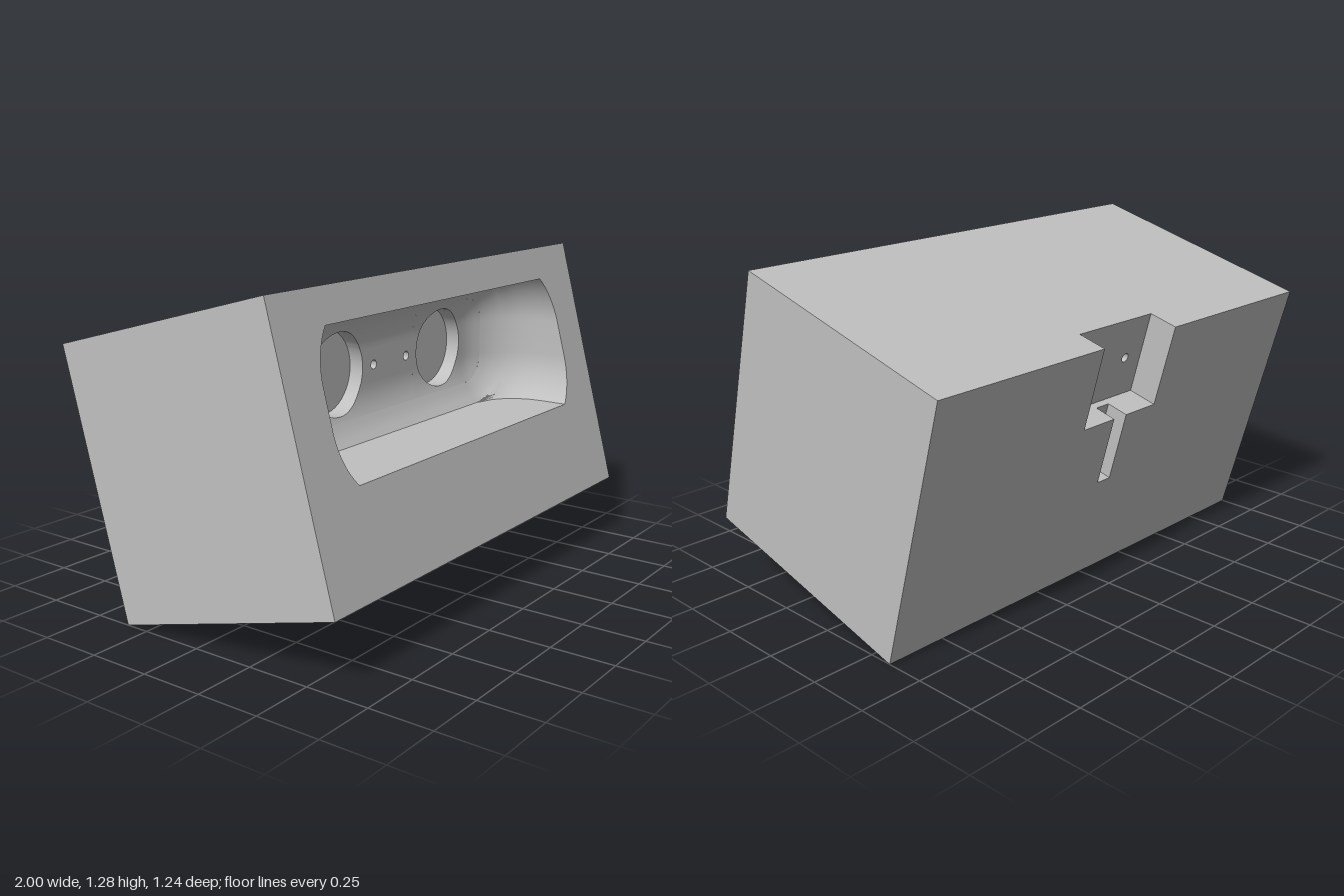
import * as THREE from 'three';
import { toCreasedNormals } from 'three/addons/utils/BufferGeometryUtils.js';

const TILT = Math.PI / 12, C = Math.cos(TILT), S = Math.sin(TILT);
const H = 0.53, D = 0.5, MID = 0.642;            // block half height, half depth, centre height
const NX = 0.205, NY = 0.195, NZ = -0.38;        // notch half width, ledge height, floor
const SX = 0.035, SY = -0.09, SZ = -0.41;        // slot half width, bottom, inner wall
const CY = 0.893, R = 0.28, CX = 0.53, CORE = 0.07, CLIP = 0.2625, ZC = 0.405; // pocket
const SPOOL_X = 0.343, SPOOL_R = 0.161, SPOOL_Z = 0.065, PIN_X = 0.11, PIN_R = 0.018;
const RHO = 0.11, SPLIT = 0.155;                 // limits of the pocket floor patches

// World height <-> position on a tilted plane of the block
const toLocalY = (y, lz) => (y - MID - lz * S) / C;
const planeZ = (y, lz) => lz * C - toLocalY(y, lz) * S;

// Rounded pocket: distance from the flat core, and depth there
const coreDist = (x, y) =>
  Math.hypot(Math.max(Math.abs(x) - CX, 0), Math.max(Math.abs(y) - CORE, 0));
const floorZ = (x, y) => ZC - Math.sqrt(R * R - Math.min(coreDist(x, y), R) ** 2);

// Pocket cross-section with fillet radius rho, cut flat above and below
function section(rho, n = 12) {
  const tMax = Math.asin(Math.min(1, (CLIP - CORE) / rho));
  const q = Array.from({ length: n + 1 }, (_, i) => {
    const t = (tMax * i) / n;
    return [CX + rho * Math.cos(t), CORE + rho * Math.sin(t)];
  });
  const r = [...q].reverse();
  return [...q, ...r.map(([x, y]) => [-x, y]), ...q.map(([x, y]) => [-x, -y]), ...r.map(([x, y]) => [x, -y])];
}

function circle(cx, cy, r, n = 48) {
  return Array.from({ length: n }, (_, i) => {
    const a = (i / n) * Math.PI * 2;
    return [cx + r * Math.cos(a), cy + r * Math.sin(a)];
  });
}

// Surface through closed rings of equal length
function loft(rings) {
  const n = rings[0].length, index = [];
  for (let k = 0; k < rings.length - 1; k++)
    for (let i = 0; i < n; i++) {
      const j = (i + 1) % n, a = k * n, b = a + n;
      index.push(a + i, a + j, b + i, a + j, b + j, b + i);
    }
  const g = new THREE.BufferGeometry();
  g.setAttribute('position', new THREE.Float32BufferAttribute(rings.flat(2), 3));
  g.setIndex(index);
  return toCreasedNormals(g, 0.55);
}

// Flat outline with holes, placed in space by a mapping
function panel(points, map, holes = []) {
  const v = (list) => list.map(([x, y]) => new THREE.Vector2(x, y));
  const shape = new THREE.Shape(v(points));
  shape.holes = holes.map((h) => new THREE.Path(v(h)));
  return drape(new THREE.ShapeGeometry(shape), map);
}

function drape(g, map) {
  const p = g.attributes.position;
  for (let i = 0; i < p.count; i++) p.setXYZ(i, ...map(p.getX(i), p.getY(i)));
  g.computeVertexNormals();
  return g;
}

const rect = (x0, y0, x1, y1) => [[x0, y0], [x1, y0], [x1, y1], [x0, y1]];
const atX = (x) => (a, b) => [x, b, a];
const atY = (y) => (a, b) => [a, y, b];
const atZ = (z) => (a, b) => [a, b, z];

export function createModel() {
  const model = new THREE.Group();
  const grey = new THREE.MeshStandardMaterial({ color: 0xc0c0c0, side: THREE.DoubleSide });
  grey.name = 'light grey';
  const add = (parent, name, geometry) => {
    const m = new THREE.Mesh(geometry, grey);
    m.name = name;
    parent.add(m);
  };

  // Tilted block
  const block = new THREE.Group();
  block.name = 'block';
  block.position.y = MID;
  block.rotation.x = -TILT;
  model.add(block);
  const rim = section(R);
  add(block, 'frontFace', panel(rect(-1, -H, 1, H), atZ(D), [rim.map(([x, y]) => [x, toLocalY(CY + y, D)])]));
  add(block, 'backFace', panel([[-1, -H], [1, -H], [1, H], [NX, H], [NX, NY], [SX, NY], [SX, SY],
    [-SX, SY], [-SX, NY], [-NX, NY], [-NX, H], [-1, H]], atZ(-D)));
  add(block, 'topFace', panel([[-1, D], [1, D], [1, -D], [NX, -D], [NX, NZ], [-NX, NZ], [-NX, -D], [-1, -D]], atY(H)));
  add(block, 'bottomFace', panel(rect(-1, -D, 1, D), atY(-H)));

  // Notch and narrow slot in the back
  const pinY = toLocalY(CY, NZ);
  add(block, 'notchFloor', panel(rect(-NX, NY, NX, H), atZ(NZ), [-1, 1].map((s) => circle(s * PIN_X, pinY, PIN_R, 20))));
  add(block, 'notchLedge', panel([[-NX, -D], [-SX, -D], [-SX, SZ], [SX, SZ], [SX, -D], [NX, -D], [NX, NZ], [-NX, NZ]], atY(NY)));
  add(block, 'slotInnerWall', panel(rect(-SX, SY, SX, NY), atZ(SZ)));
  add(block, 'slotBottom', panel(rect(-SX, -D, SX, SZ), atY(SY)));
  for (const s of [-1, 1]) {
    add(block, 'sideFace', panel(rect(-D, -H, D, H), atX(s)));
    add(block, 'notchSide', panel(rect(-D, NY, NZ, H), atX(s * NX)));
    add(block, 'slotSide', panel(rect(-D, SY, SZ, NY), atX(s * SX)));
  }

  // Level rounded pocket behind the front opening
  const pocket = new THREE.Group();
  pocket.name = 'pocket';
  pocket.position.y = CY;
  model.add(pocket);
  const rings = [
    rim.map(([x, y]) => [x, y, planeZ(CY + y, D)]),
    rim.map(([x, y]) => [x, y, Math.min(ZC, planeZ(CY + y, D) - 0.004)]),
  ];
  for (const rho of [0.275, 0.265, 0.25, 0.235, 0.215, CLIP - CORE, 0.17, 0.15, 0.13, RHO]) {
    const z = ZC - Math.sqrt(R * R - rho * rho);
    rings.push(section(rho).map(([x, y]) => [x, y, z]));
  }
  add(pocket, 'pocketWall', loft(rings));

  // Middle of the pocket floor with two pin holes
  const onFloor = (x, y) => [x, y, floorZ(x, y)];
  add(pocket, 'pocketFloor', panel(rect(-SPLIT, -CORE, SPLIT, CORE), onFloor,
    [-1, 1].map((s) => circle(s * PIN_X, 0, PIN_R, 20))));

  // Floor around each round recess, the recess itself, and the pin hole beside it
  const corner = Math.atan2(CORE + RHO, SPOOL_X - SPLIT);
  const angles = Array.from({ length: 96 }, (_, i) => (i / 96) * Math.PI * 2);
  angles.push(Math.PI - corner, Math.PI + corner);
  angles.sort((a, b) => a - b);
  const reach = (a) => {
    let lo = 0.1, hi = 0.6;
    for (let i = 0; i < 30; i++) {
      const m = (lo + hi) / 2, x = SPOOL_X + m * Math.cos(a);
      if (x > SPLIT && coreDist(x, m * Math.sin(a)) < RHO) lo = m; else hi = m;
    }
    return lo;
  };
  const outer = angles.map(reach);
  for (const s of [-1, 1]) {
    const strip = new THREE.PlaneGeometry(2 * SPLIT, RHO, 1, 8).translate(0, s * (CORE + RHO / 2), 0);
    add(pocket, 'pocketFloorEdge', drape(strip, onFloor));
    const spool = (k) => angles.map((a, i) => {
      const r = SPOOL_R + (outer[i] - SPOOL_R) * k;
      return onFloor(s * (SPOOL_X + r * Math.cos(a)), r * Math.sin(a));
    });
    add(pocket, 'recessSurround', loft([0, 0.2, 0.4, 0.6, 0.8, 1].map(spool)));
    const edge = spool(0);
    add(pocket, 'recessWall', loft([edge, edge.map(([x, y]) => [x, y, SPOOL_Z])]));
    add(pocket, 'recessFloor', panel(edge, atZ(SPOOL_Z)));
    const pin = circle(s * PIN_X, 0, PIN_R, 20);
    add(pocket, 'pinHole', loft([
      pin.map(([x, y]) => [x, y, floorZ(x, y)]),
      pin.map(([x, y]) => [x, y, planeZ(CY + y, NZ)]),
    ]));
  }
  return model;
}
